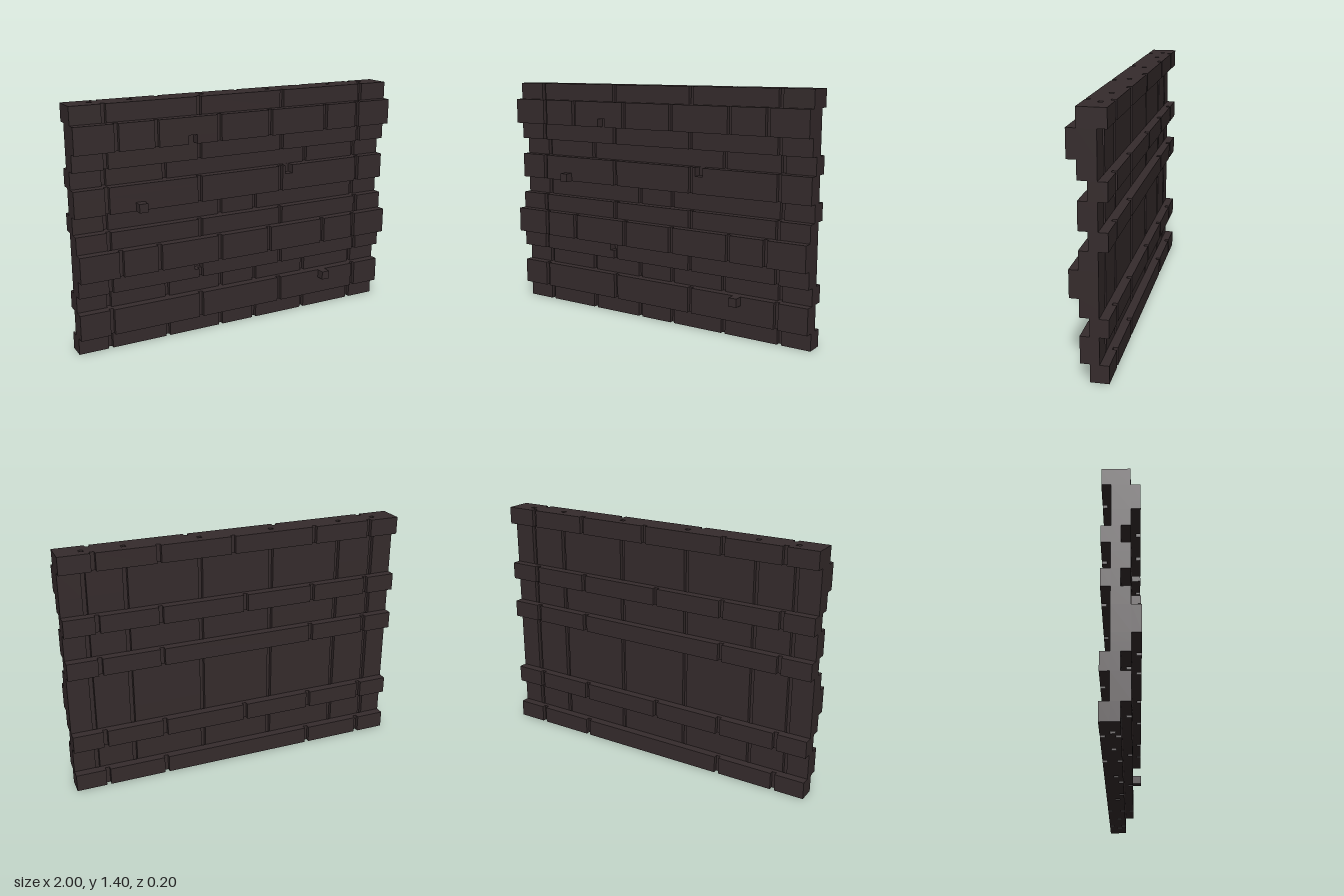
import * as THREE from 'three';

// mirrored groove: [x, width, depth]
const W = 0.026, D = 0.025;
const grooves = (...xs) => xs.flatMap(x => [[-x, W, D], [x, W, D]]);

// One horizontal course: a comb outline in plan, extruded upward from y0 to y1
function course(y0, y1, zBack, zFront, back, front) {
  const shape = new THREE.Shape();
  const sorted = list => [...list].sort((a, b) => a[0] - b[0]);
  shape.moveTo(-1, -zFront);
  for (const [x, w, d] of sorted(front)) {
    shape.lineTo(x - w / 2, -zFront);
    shape.lineTo(x - w / 2, -zFront + d);
    shape.lineTo(x + w / 2, -zFront + d);
    shape.lineTo(x + w / 2, -zFront);
  }
  shape.lineTo(1, -zFront);
  shape.lineTo(1, -zBack);
  for (const [x, w, d] of sorted(back).reverse()) {
    shape.lineTo(x + w / 2, -zBack);
    shape.lineTo(x + w / 2, -zBack - d);
    shape.lineTo(x - w / 2, -zBack - d);
    shape.lineTo(x - w / 2, -zBack);
  }
  shape.lineTo(-1, -zBack);
  const geo = new THREE.ExtrudeGeometry(shape, { depth: y1 - y0, bevelEnabled: false });
  return geo.rotateX(-Math.PI / 2).translate(0, y0, 0);
}

export function createModel() {
  const wall = new THREE.Group();
  wall.name = 'plankWall';
  const wood = new THREE.MeshStandardMaterial({ color: 0x352b2c });
  wood.name = 'darkWood';
  const add = (name, geo) => {
    const mesh = new THREE.Mesh(geo, wood);
    mesh.name = name;
    wall.add(mesh);
  };

  const panelBack = grooves(0.863, 0.638, 0.213);
  const panelFront = grooves(0.814, 0.265);
  const stripFront = grooves(0.765, 0.538, 0.163);
  const stripBack = grooves(0.814, 0.46);

  // Main panel courses, full depth
  for (const [y0, y1] of [[0.1, 0.25], [0.35, 0.4], [0.45, 0.6], [0.6, 0.7], [0.8, 0.9],
    [1.05, 1.15], [1.15, 1.3], [1.3, 1.4]]) {
    add('panelCourse', course(y0, y1, -0.05, 0.05, panelBack, panelFront));
  }
  // Chipped upper edges of two panel courses
  add('chippedCourse', course(0.9, 0.95, -0.05, 0.05, panelBack, [...panelFront, [0.32, 0.05, 0.05 - 0.001]]));
  add('chippedCourse', course(0.4, 0.45, -0.05, 0.05, panelBack,
    [...panelFront.filter(g => g[0] !== -0.265), [-0.279, 0.052, 0.049]]));

  // Recessed courses
  for (const [y0, y1, xs] of [[0, 0.1, [0.814, 0.46, 0.115]], [0.25, 0.35, [0.814, 0.46, 0.115]],
    [0.7, 0.8, [0.814, 0.115]], [0.95, 1.05, [0.814, 0.46]]]) {
    add('recessedCourse', course(y0, y1, -0.05, 0, panelBack, grooves(...xs)));
  }

  // Raised planks on the back
  for (const [y, mid] of [[0, null], [0.25, -0.04], [0.7, null], [0.95, -0.04], [1.3, 0.035]]) {
    const cuts = mid === null ? stripBack : [...stripBack, [mid, W, D]];
    add('backPlank', course(y, y + 0.1, -0.1, -0.05, cuts, []));
  }

  // Raised planks on the front, the upper one chipped at its lower edge
  add('frontPlank', course(0.45, 0.6, 0.05, 0.1, [], stripFront));
  add('frontPlank', course(1.2, 1.3, 0.05, 0.1, [], stripFront));
  add('frontPlank', course(1.15, 1.2, 0.05, 0.1, [], [...stripFront, [-0.328, 0.05, 0.049]]));

  // Small protruding pegs
  for (const [x, y] of [[-0.627, 0.825], [0.573, 0.225]]) {
    add('peg', new THREE.BoxGeometry(0.05, 0.05, 0.05).translate(x, y, 0.075));
  }
  return wall;
}
